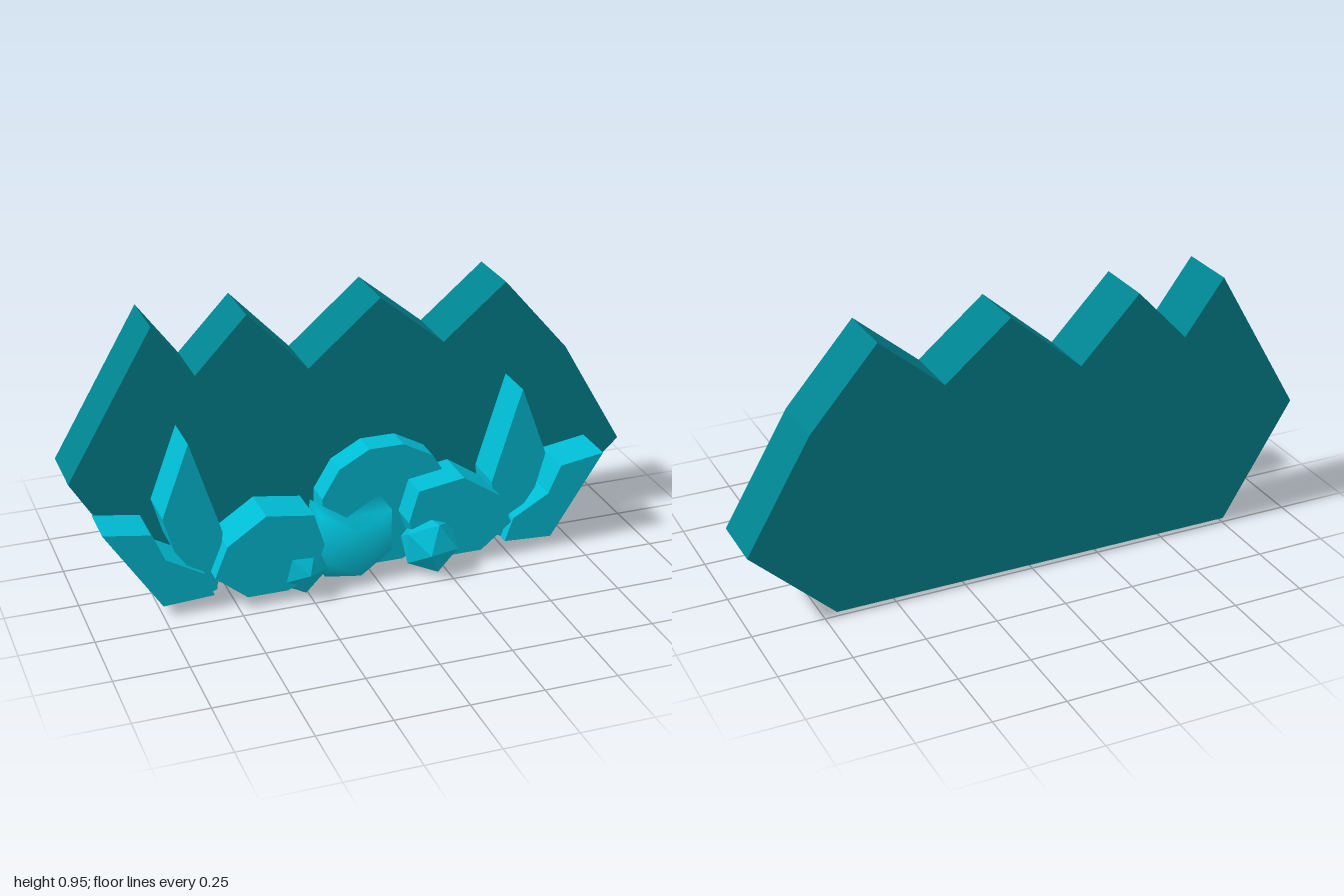
import * as THREE from 'three';
import { mergeVertices } from 'three/addons/utils/BufferGeometryUtils.js';

const darkTeal = new THREE.MeshStandardMaterial({ color: 0x00838f, name: 'dark teal' });
const cyan = new THREE.MeshStandardMaterial({ color: 0x00bcd4, name: 'bright cyan' });

// Extrudes an outline from zBack to zFront
function slabGeometry(points, zBack, zFront) {
  const shape = new THREE.Shape(points.map(([x, y]) => new THREE.Vector2(x, y)));
  const geo = new THREE.ExtrudeGeometry(shape, { depth: zFront - zBack, bevelEnabled: false });
  return geo.translate(0, 0, zBack);
}

export function createModel() {
  const group = new THREE.Group();
  const add = (name, geo, material) => {
    const mesh = new THREE.Mesh(geo, material);
    mesh.name = name;
    group.add(mesh);
    return mesh;
  };

  // Jagged wall behind everything
  add('backWall', slabGeometry([
    [-1, 0.44], [-0.75, 0.028], [0.71, 0.028], [1, 0.3], [0.775, 0.685], [0.54, 0.955],
    [0.315, 0.765], [0.085, 0.955], [-0.17, 0.735], [-0.38, 0.955], [-0.56, 0.765], [-0.7, 0.955],
  ], -0.255, -0.04), darkTeal);

  // Tall spikes and low slanted leaves, mirrored on both sides
  const spike = [[-0.64, 0.615], [-0.735, 0.36], [-0.7, 0.235], [-0.58, 0.06], [-0.56, 0.07], [-0.535, 0.28]];
  const leaf = [[-0.94, 0.345], [-0.75, 0.05], [-0.575, 0.06], [-0.605, 0.145], [-0.735, 0.22], [-0.78, 0.32]];
  const mirror = (pts) => pts.map(([x, y]) => [-x - 0.09, y]);
  add('leftSideSpike', slabGeometry(spike, -0.01, 0.15), cyan);
  add('rightSideSpike', slabGeometry(mirror(spike), -0.05, 0.108), cyan);
  add('leftSideLeaf', slabGeometry(leaf, 0.015, 0.17), cyan);
  add('rightSideLeaf', slabGeometry(mirror(leaf), -0.015, 0.145), cyan);

  // Many-sided slab boulders
  const boulder = [[-0.4, 0.34], [-0.535, 0.25], [-0.58, 0.14], [-0.47, 0.05], [-0.33, 0.05],
    [-0.24, 0.09], [-0.2, 0.2], [-0.235, 0.315]];
  add('leftBoulder', slabGeometry(boulder, 0.05, 0.205), cyan);
  add('rightBoulder', slabGeometry(mirror(boulder).map(([x, y]) => [x + 0.01, y]), 0, 0.158), cyan);

  // Rounded stone standing in the middle
  const disc = [];
  for (let i = 0; i < 12; i++) {
    const a = ((i + 0.5) / 12) * Math.PI * 2;
    disc.push([0.075 + 0.24 * Math.cos(a), 0.23 + 0.228 * Math.sin(a)]);
  }
  add('centreStone', slabGeometry(disc, -0.095, 0.055), cyan);

  // Notched coral, softly shaded
  const coral = slabGeometry([[-0.2, 0.295], [-0.22, 0.13], [-0.19, 0.06], [-0.06, 0.04],
    [0.05, 0.12], [0.05, 0.275], [-0.07, 0.205]], 0.05, 0.175);
  coral.deleteAttribute('normal');
  coral.deleteAttribute('uv');
  const softCoral = mergeVertices(coral);
  softCoral.computeVertexNormals();
  add('notchedCoral', softCoral, cyan);

  // Faceted pebbles, one corner pointing forward
  for (const [name, x, z, yaw, roll] of [
    ['leftPebble', -0.275, 0.137, 0.12, 0.1],
    ['rightPebble', 0.198, 0.15, -0.3, 0.3],
  ]) {
    const pebble = new THREE.IcosahedronGeometry(0.106, 0)
      .rotateX(Math.atan(2 / (1 + Math.sqrt(5)))).rotateZ(roll).rotateY(yaw);
    add(name, pebble, cyan).position.set(x, 0.11, z);
  }

  return group;
}
